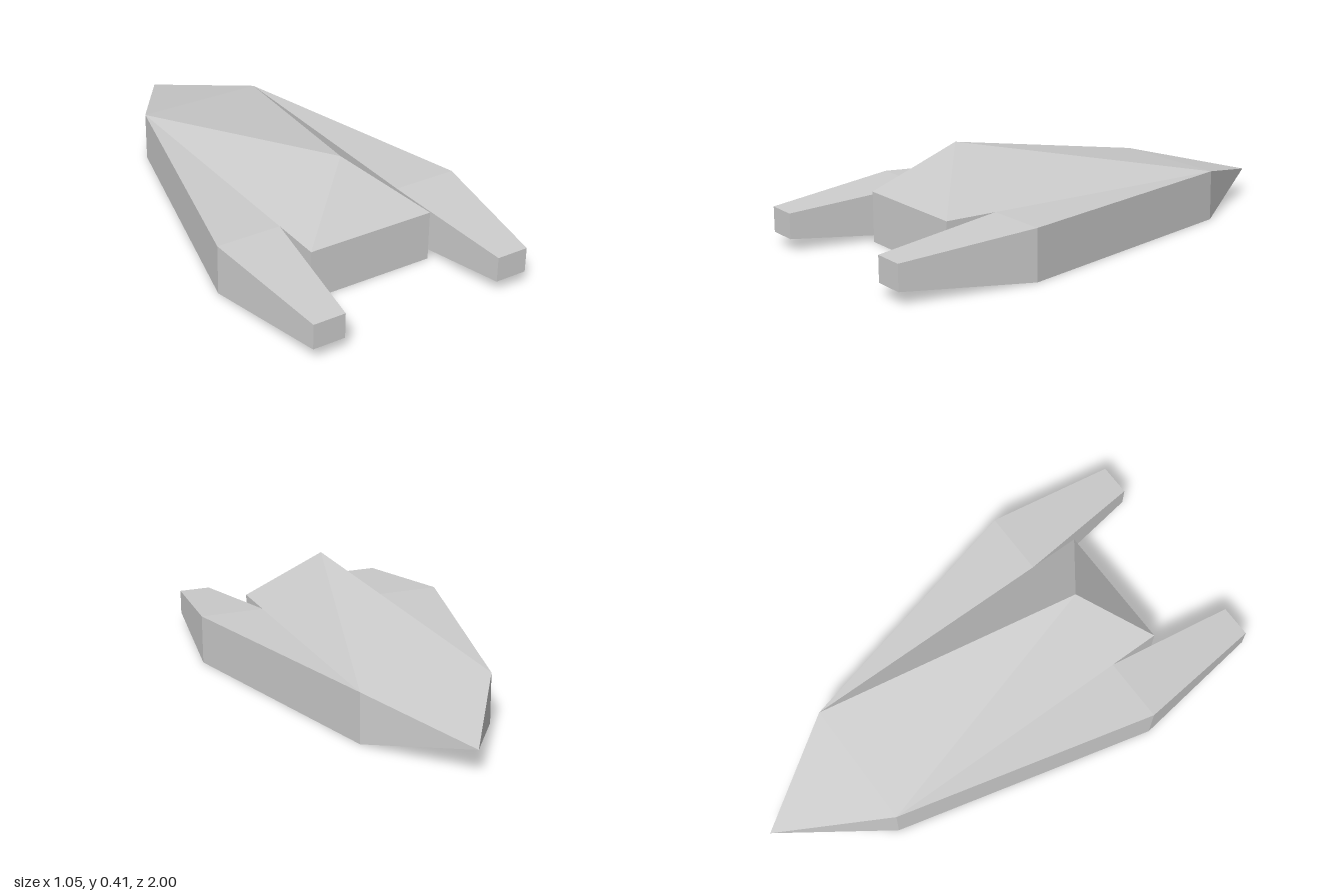
import * as THREE from 'three';
import { ConvexGeometry } from 'three/addons/geometries/ConvexGeometry.js';

// Flat-sided solid through rectangular sections [z, x0, x1, y0, y1], ordered back to front
function loftBoxes(sections) {
  const rings = sections.map(([z, x0, x1, y0, y1]) => [
    [x0, y0, z], [x1, y0, z], [x1, y1, z], [x0, y1, z],
  ]);
  const positions = [];
  const triangle = (a, b, c) => {
    const [p, q, r] = [a, b, c].map((v) => new THREE.Vector3(...v));
    if (q.sub(p).cross(r.sub(p)).length() > 1e-6) positions.push(...a, ...b, ...c);
  };
  const quad = (a, b, c, d) => { triangle(a, b, c); triangle(a, c, d); };
  for (let s = 0; s < rings.length - 1; s++) {
    for (let i = 0; i < 4; i++) {
      const j = (i + 1) % 4;
      quad(rings[s][i], rings[s][j], rings[s + 1][j], rings[s + 1][i]);
    }
  }
  quad(...[...rings[0]].reverse());
  quad(...rings[rings.length - 1]);
  const geometry = new THREE.BufferGeometry();
  geometry.setAttribute('position', new THREE.Float32BufferAttribute(positions, 3));
  geometry.computeVertexNormals();
  return geometry;
}

export function createModel() {
  const model = new THREE.Group();
  model.name = 'spaceship';
  const hullGrey = new THREE.MeshStandardMaterial({ color: 0xcccccc });
  hullGrey.name = 'hull grey';

  const add = (name, geometry) => {
    const mesh = new THREE.Mesh(geometry, hullGrey);
    mesh.name = name;
    model.add(mesh);
  };

  const W = 0.262, H = 0.2, backZ = -0.58, frontZ = 0.68, shoulderZ = 0.47;

  // Central hull, with the pointed end towards -z
  add('hull', loftBoxes([
    [-1, 0, 0, 0.1, 0.1],
    [backZ, -W, W, 0, H],
    [frontZ, -W, W, 0, H],
  ]));

  // Faceted canopy rising to a single peak
  add('canopy', new ConvexGeometry([
    new THREE.Vector3(-W, H, backZ), new THREE.Vector3(W, H, backZ),
    new THREE.Vector3(-W, H, frontZ), new THREE.Vector3(W, H, frontZ),
    new THREE.Vector3(0, 0.415, shoulderZ),
  ]));

  // Side wings, each widening to a shoulder and then tapering into a prong
  for (const side of [1, -1]) {
    const section = (z, inner, outer, y0, y1) =>
      [z, Math.min(side * inner, side * outer), Math.max(side * inner, side * outer), y0, y1];
    add(side > 0 ? 'leftWing' : 'rightWing', loftBoxes([
      section(backZ, W, W, 0, H),
      section(shoulderZ, W, 2 * W, 0, H),
      section(1, 0.33, 0.46, 0.05, 0.15),
    ]));
  }
  return model;
}
